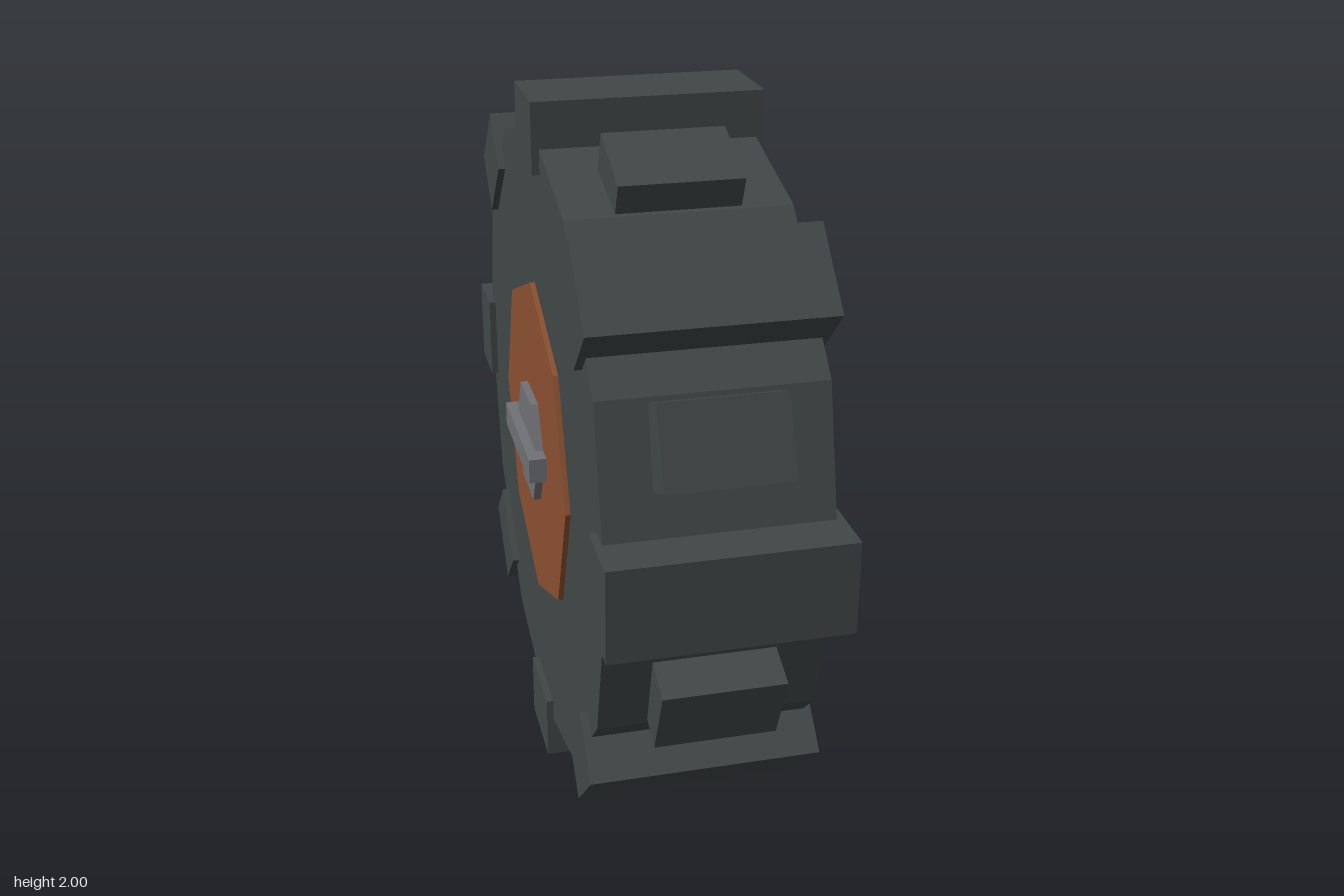
import * as THREE from 'three';

function material(name, color) {
  const m = new THREE.MeshStandardMaterial({ color });
  m.name = name;
  return m;
}

export function createModel() {
  const rubber = material('dark rubber', 0x414747);
  const rust = material('rust orange', 0x8a4f31);
  const steel = material('grey steel', 0x707175);

  const wheel = new THREE.Group();
  wheel.name = 'wheel';
  wheel.position.y = 1;

  const add = (name, geometry, mat, parent = wheel) => {
    const mesh = new THREE.Mesh(geometry, mat);
    mesh.name = name;
    parent.add(mesh);
    return mesh;
  };

  // Faceted disc lying along the x axle, with a corner pointing to +z
  const disc = (radius, width, sides) => {
    const g = new THREE.CylinderGeometry(radius, radius, width, sides).rotateZ(Math.PI / 2).toNonIndexed();
    g.computeVertexNormals();
    return g;
  };

  add('tyre', disc(0.91, 0.58, 12), rubber);
  add('hubPlate', disc(0.475, 0.608, 8), rust);
  add('axleNut', disc(0.17, 0.65, 6), steel);
  add('axleBar', new THREE.BoxGeometry(0.706, 0.07, 0.404), steel);

  // Wide and narrow tread blocks alternate around the rim
  const treads = new THREE.Group();
  treads.name = 'treads';
  wheel.add(treads);
  const wide = new THREE.BoxGeometry(0.62, 0.19, 0.25).translate(0, 0.905, 0);
  const narrow = new THREE.BoxGeometry(0.32, 0.185, 0.212).translate(0, 0.8925, 0);
  for (let i = 0; i < 16; i++) {
    const isWide = i % 2 === 0;
    const block = add(isWide ? 'wideTread' : 'narrowTread', isWide ? wide : narrow, rubber, treads);
    block.rotation.x = (i * Math.PI) / 8;
  }

  const model = new THREE.Group();
  model.name = 'model';
  model.add(wheel);
  return model;
}
